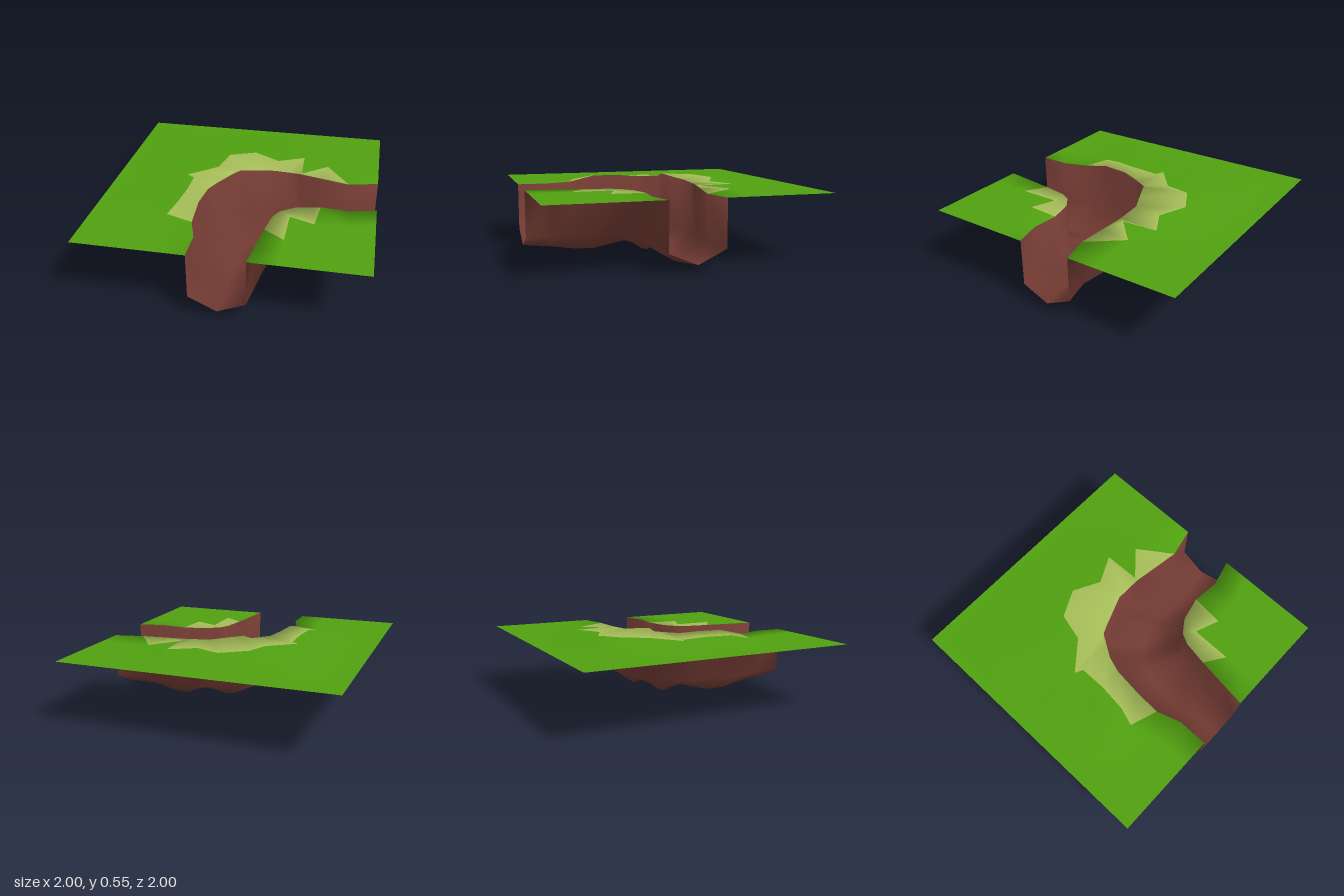
import * as THREE from 'three';

const LEVEL = 0.485;
const COUNT = 16; // cross-sections from the front edge (z = 1) round to the side edge (x = 1)
const CORNER = 8; // cross-section that runs to the back corner of the tile

// Bank edges as knots: [cross-section, x, z, height]
const OUTER_RIM = [
  [0, -0.2, 1, 0.485], [1, -0.2, 0.78, 0.485], [2, -0.26, 0.6, 0.485], [3, -0.26, 0.4, 0.53],
  [4, -0.24, 0.2, 0.53], [5, -0.2, 0.08, 0.52], [7, -0.1, -0.08, 0.53], [8, -0.05, -0.1, 0.55],
  [10, 0.2, -0.2, 0.52], [12, 0.4, -0.2, 0.51], [14, 0.78, -0.15, 0.485], [15, 1, -0.2, 0.485],
];
const INNER_RIM = [
  [0, 0.2, 1], [2, 0.25, 0.6], [4, 0.28, 0.42], [6, 0.32, 0.34],
  [9, 0.42, 0.27], [13, 0.6, 0.23], [14, 0.8, 0.25], [15, 1, 0.2],
];
// Edge of the pale fringe on the inside of the bend: [cross-section, x, z]
const INNER_RING = [[0, 0.4, 1], [2, 0.4, 0.7], [7, 0.4, 0.4], [13, 0.58, 0.47], [14, 0.8, 0.45], [15, 1, 0.4]];
// Zigzag edge of the outer fringe, one [x, z] for each cross-section
const OUTER_RING = [
  [-0.4, 1], [-0.4, 0.78], [-0.46, 0.53], [-0.42, 0.4], [-0.4, 0.2], [-0.4, 0], [-0.46, -0.03], [-0.25, -0.2],
  [-0.2, -0.4], [0, -0.5], [0.2, -0.4], [0.4, -0.5], [0.41, -0.23], [0.6, -0.4], [0.8, -0.4], [1, -0.4],
];

// Values at cross-section i, in a straight line between the knots on either side
function between(knots, i) {
  const k = Math.max(1, knots.findIndex((knot) => knot[0] >= i));
  const [from, to] = [knots[k - 1], knots[k]];
  const t = (i - from[0]) / (to[0] - from[0]);
  return from.slice(1).map((value, n) => THREE.MathUtils.lerp(value, to[n + 1], t));
}

// From the outer tile edge, down through the channel, to the inner corner
function crossSection(i) {
  const [x, z, y] = between(OUTER_RIM, i);
  const [innerX, innerZ] = between(INNER_RIM, i);
  const [fringeX, fringeZ] = between(INNER_RING, i);
  const [ringX, ringZ] = OUTER_RING[i];
  const flat = (reach) => [i <= CORNER ? -reach : ringX, LEVEL, i >= CORNER ? -reach : ringZ];
  const floor = 0.0243 + 0.03 * Math.cos((i * Math.PI * 2) / 5);
  return [
    flat(1),
    flat(0.8),
    [ringX, LEVEL + 0.6 * (y - LEVEL), ringZ],
    [x, y, z],
    [x, 0.15, z],
    [(x + innerX) / 2, floor, (z + innerZ) / 2],
    [innerX, 0.14, innerZ],
    [innerX, LEVEL, innerZ],
    [fringeX, LEVEL, fringeZ],
    [1, LEVEL, 1],
  ];
}

// Surface of the strip j between cross-sections i and i + 1
function surfaceOf(i, j) {
  if (j >= 3 && j <= 6) return 'earth';
  return (j === 2 || j === 7) && i >= 2 && i <= 12 ? 'paleGrass' : 'grass';
}

export function createModel() {
  const group = new THREE.Group();
  const rows = Array.from({ length: COUNT }, (_, i) => crossSection(i));
  const columns = rows[0].length;
  const faces = { grass: [], paleGrass: [], earth: [] };

  for (let i = 0; i < COUNT - 1; i++) {
    for (let j = 0; j < columns - 1; j++) {
      const a = i * columns + j;
      const c = a + columns + 1;
      const surface = surfaceOf(i, j);
      // The outer fringe tapers to a point after its last full strip
      const tip = i === 13 && j === 2;
      faces[tip ? 'paleGrass' : surface].push(a, a + 1, c);
      faces[surface].push(a, c, a + columns);
    }
  }

  // Shared points give soft normals across the bank edges
  const whole = new THREE.BufferGeometry();
  whole.setAttribute('position', new THREE.Float32BufferAttribute(rows.flat(2), 3));
  whole.setIndex(Object.values(faces).flat());
  whole.computeVertexNormals();

  const addPart = (name, index, materialName, color) => {
    const geometry = new THREE.BufferGeometry();
    geometry.setAttribute('position', whole.getAttribute('position'));
    geometry.setAttribute('normal', whole.getAttribute('normal'));
    geometry.setIndex(index);
    const material = new THREE.MeshStandardMaterial({ color, side: THREE.DoubleSide });
    material.name = materialName;
    const mesh = new THREE.Mesh(geometry, material);
    mesh.name = name;
    group.add(mesh);
  };

  addPart('ground', faces.grass, 'grass', 0x50a010);
  addPart('bankFringe', faces.paleGrass, 'pale grass', 0xa5bd58);
  addPart('riverbed', faces.earth, 'earth', 0x713a32);
  return group;
}
